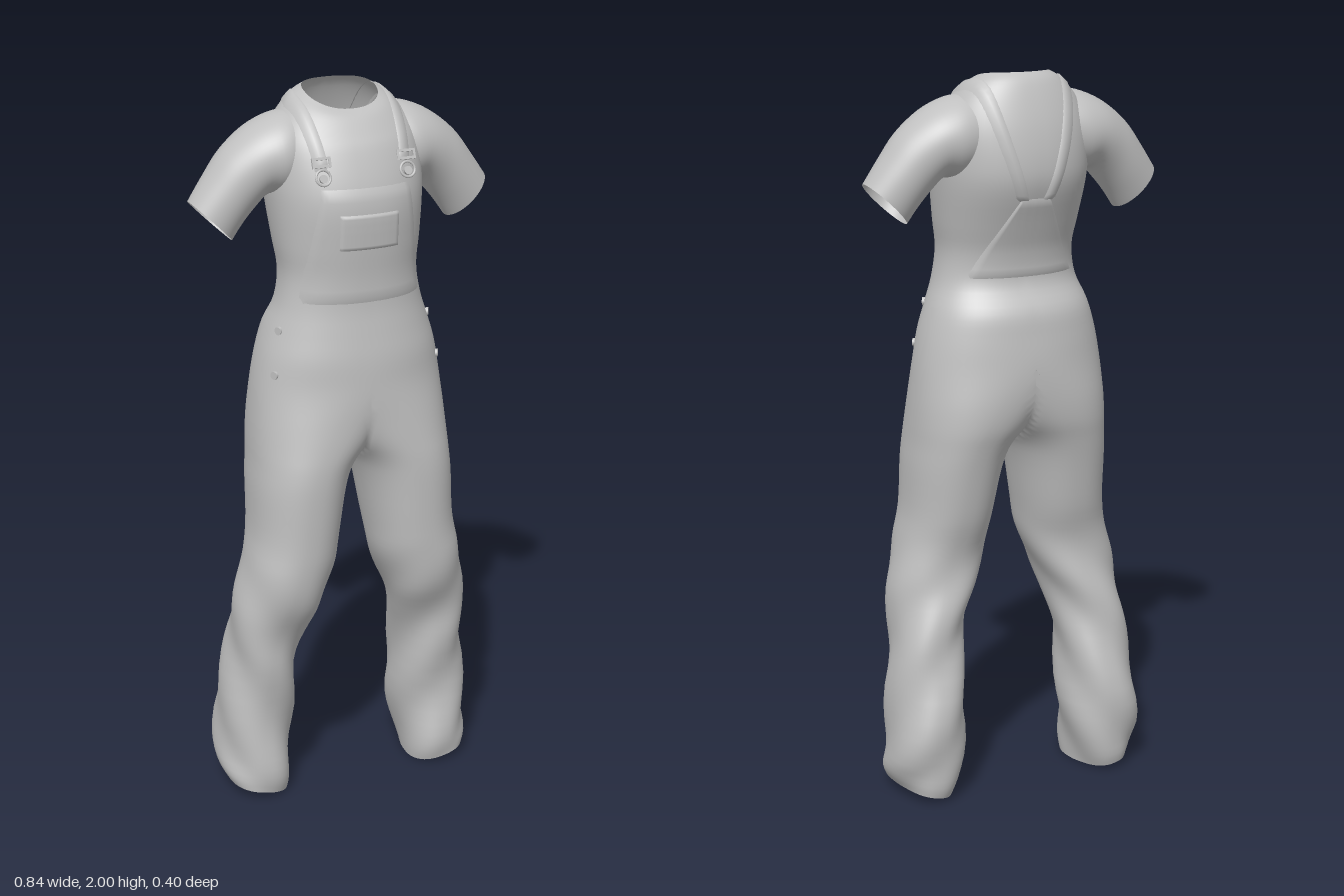
import * as THREE from 'three';
import { mergeGeometries, mergeVertices } from 'three/addons/utils/BufferGeometryUtils.js';

const COLS = 64;
const spow = (v, e) => Math.sign(v) * Math.abs(v) ** e;
const lerp = THREE.MathUtils.lerp;

// Smoothly subdivides a list of cross-section rows
function refine(rows, steps) {
  const out = [];
  const at = i => rows[Math.min(Math.max(i, 0), rows.length - 1)];
  for (let i = 0; i < rows.length - 1; i++) {
    for (let s = 0; s < steps; s++) {
      const t = s / steps;
      out.push(rows[i].map((p1, k) => {
        const p0 = at(i - 1)[k], p2 = at(i + 1)[k], p3 = at(i + 2)[k];
        return 0.5 * (2 * p1 + (p2 - p0) * t + (2 * p0 - 5 * p1 + 4 * p2 - p3) * t * t
          + (3 * p1 - p0 - 3 * p2 + p3) * t * t * t);
      }));
    }
  }
  out.push(rows[rows.length - 1]);
  return out;
}

// Skins rings of points; faces lying in the x = 0 plane are left out
function loft(rows, point) {
  const pos = [], index = [];
  rows.forEach(r => {
    for (let j = 0; j < COLS; j++) pos.push(...point(r, j / COLS * Math.PI * 2));
  });
  const tri = (...t) => { if (t.some(i => pos[i * 3] > 1e-6)) index.push(...t); };
  for (let i = 0; i < rows.length - 1; i++) {
    for (let j = 0; j < COLS; j++) {
      const a = i * COLS + j, b = i * COLS + (j + 1) % COLS;
      tri(a, a + COLS, b);
      tri(b, a + COLS, b + COLS);
    }
  }
  return makeGeometry(pos, index);
}

function makeGeometry(pos, index) {
  const g = new THREE.BufferGeometry();
  g.setAttribute('position', new THREE.Float32BufferAttribute(pos, 3));
  g.setIndex(index);
  return g;
}

function mirror(geo) {
  const g = geo.clone().applyMatrix4(new THREE.Matrix4().makeScale(-1, 1, 1));
  const ix = g.index.array;
  for (let i = 0; i < ix.length; i += 3) [ix[i], ix[i + 1]] = [ix[i + 1], ix[i]];
  return g;
}

// Half body from hem to neck: y, front drop, inner x, outer x, back z, front z
const LEG = [
  [0, 0, 0.195, 0.355, -0.135, 0.11], [0.06, 0, 0.183, 0.37, -0.15, 0.115],
  [0.2, 0, 0.165, 0.372, -0.165, 0.1], [0.4, 0, 0.16, 0.35, -0.13, 0.12],
  [0.5, 0, 0.14, 0.342, -0.11, 0.135], [0.6, 0, 0.1, 0.33, -0.095, 0.17],
  [0.7, 0, 0.067, 0.31, -0.09, 0.19], [0.8, 0, 0.05, 0.29, -0.115, 0.195],
  [0.93, 0, 0.028, 0.285, -0.14, 0.2], [1.0, 0, 0, 0.28, -0.155, 0.2],
  [1.06, 0, -0.06, 0.277, -0.17, 0.197], [1.13, 0, -0.14, 0.272, -0.178, 0.193],
];
const TORSO = [
  [1.22, 0, 0.262, -0.18, 0.19], [1.3, 0, 0.247, -0.172, 0.185], [1.37, 0, 0.226, -0.16, 0.175],
  [1.44, 0, 0.2, -0.12, 0.166], [1.52, 0, 0.188, -0.123, 0.166], [1.6, 0, 0.197, -0.15, 0.174],
  [1.7, 0, 0.207, -0.188, 0.181], [1.77, 0, 0.21, -0.194, 0.17], [1.85, 0, 0.205, -0.182, 0.14],
  [1.92, 0.03, 0.18, -0.16, 0.115], [1.975, 0.045, 0.135, -0.135, 0.085],
  [1.997, 0.05, 0.1, -0.112, 0.06],
].map(([y, d, x, b, f]) => [y, d, -x, x, b, f]);

function bodyPoint([y, drop, xi, xo, zb, zf], a) {
  const e = 2 / 2.25;
  const fold = y < 0.75 ? 0.006 * Math.sin(y * 24 + a * 3) * Math.min(1, (0.75 - y) * 6) : 0;
  const x = (xi + xo) / 2 + ((xo - xi) / 2 + fold) * spow(Math.cos(a), e);
  const z = (zb + zf) / 2 + ((zf - zb) / 2 + fold) * spow(Math.sin(a), e);
  const t = (z - zb) / (zf - zb);
  const hem = Math.max(0, 1 - y / 0.12) * Math.max(0, x - 0.19) * 0.2;
  return [x < 1e-5 ? 0 : x, y - drop * t * t + hem, z];
}

// Sleeve: top x, top y, bottom x, bottom y, back z, front z
const SLEEVE = [
  [0.13, 1.94, 0.13, 1.73, -0.14, 0.07], [0.185, 1.935, 0.18, 1.72, -0.148, 0.085],
  [0.255, 1.905, 0.215, 1.725, -0.14, 0.075], [0.325, 1.85, 0.25, 1.69, -0.124, 0.06],
  [0.375, 1.785, 0.283, 1.65, -0.112, 0.05], [0.42, 1.72, 0.31, 1.61, -0.1, 0.042],
];
function sleevePoint([tx, ty, bx, by, zb, zf], a) {
  const t = (1 - Math.cos(a)) / 2;
  return [lerp(tx, bx, t), lerp(ty, by, t), (zb + zf) / 2 - (zf - zb) / 2 * Math.sin(a)];
}

export function createModel() {
  const group = new THREE.Group();
  const cloth = new THREE.MeshStandardMaterial({ color: 0xc0c0c0 });
  cloth.name = 'grey cloth';
  cloth.side = THREE.DoubleSide;

  const add = (name, geo, parent = group) => {
    if (!geo.attributes.normal) geo.computeVertexNormals();
    const m = new THREE.Mesh(geo, cloth);
    m.name = name;
    parent.add(m);
    return m;
  };

  // Trousers and torso, welded along the centre line
  const half = loft(refine([...LEG, ...TORSO], 4), bodyPoint);
  const body = add('body', mergeVertices(mergeGeometries([half, mirror(half)]), 1e-5));

  // Short sleeves
  const sleeveGeo = loft(refine(SLEEVE, 4), sleevePoint);
  const sleeve = add('leftSleeve', sleeveGeo);
  add('rightSleeve', mirror(sleeveGeo));

  // Finds the cloth surface along a ray, lifted slightly off it
  const ray = new THREE.Raycaster();
  function surface(origin, dir, lift, targets = [body]) {
    ray.set(origin, dir);
    const hit = ray.intersectObjects(targets, false)[0];
    return (hit ? hit.point : origin.clone().addScaledVector(dir, 0.85)).clone().addScaledVector(dir, -lift);
  }
  const fromZ = (x, y, s, lift) =>
    surface(new THREE.Vector3(x, y, s), new THREE.Vector3(0, 0, -s), lift);

  // Thin layer of cloth whose border tucks into the surface below
  function layer(nu, nv, at) {
    const pos = [], index = [];
    for (let j = 0; j <= nv; j++) {
      for (let i = 0; i <= nu; i++) {
        const edge = i === 0 || j === 0 || i === nu || j === nv;
        pos.push(...at(i / nu, j / nv, edge ? -0.002 : 0.005).toArray());
        if (i < nu && j < nv) {
          const a = j * (nu + 1) + i, c = a + nu + 1;
          index.push(a, a + 1, c, a + 1, c + 1, c);
        }
      }
    }
    return makeGeometry(pos, index);
  }
  const panel = (name, s, y0, y1, width) => add(name, layer(24, 16, (u, v, lift) =>
    fromZ((u * 2 - 1) * s * width(v), lerp(y0, y1, v), s, lift)));

  panel('bib', 1, 1.45, 1.77, v => lerp(0.178, 0.125, v));
  panel('bibPocket', 1, 1.6, 1.7, () => 0.085).position.z = 0.004;
  panel('backPanel', -1, 1.455, 1.68, v => lerp(0.16, 0.04, v));

  // Straps from the bib over the shoulders, meeting low on the back
  const strap = layer(4, 44, (u, v, lift) => {
    const deg = lerp(28, 200, v), phi = THREE.MathUtils.degToRad(deg);
    const mid = deg < 90 ? lerp(0.115, 0.138, (deg - 28) / 62) : lerp(0.138, 0.035, (deg - 90) / 110);
    const out = new THREE.Vector3(0, Math.sin(phi), Math.cos(phi));
    const origin = new THREE.Vector3(mid + (u - 0.5) * 0.04, 1.72, -0.03).add(out);
    return surface(origin, out.negate(), lift, [body, sleeve]);
  });
  add('leftStrap', strap);
  add('rightStrap', mirror(strap));

  for (const [side, s] of [['left', 1], ['right', -1]]) {
    // Strap buckle: slider, loop and button
    const buckle = new THREE.Group();
    buckle.name = side + 'Buckle';
    buckle.position.copy(fromZ(s * 0.118, 1.81, 1, 0.009));
    buckle.rotation.x = -0.36;
    group.add(buckle);
    const loop = add('buckleLoop', new THREE.TorusGeometry(0.02, 0.0035, 6, 20), buckle);
    loop.position.y = -0.015;
    for (const y of [0.014, 0.034]) {
      add('buckleBar', new THREE.BoxGeometry(0.05, 0.007, 0.007), buckle).position.y = y;
    }
    for (const x of [-0.023, 0.023]) {
      add('buckleSide', new THREE.BoxGeometry(0.006, 0.026, 0.007), buckle).position.set(x, 0.024, 0);
    }
    const button = add('buckleButton', new THREE.CylinderGeometry(0.011, 0.011, 0.008, 16), buckle);
    button.rotation.x = Math.PI / 2;
    button.position.y = -0.018;

    // Hip buttons
    for (const [y, z] of [[1.375, 0.07], [1.26, 0.09]]) {
      const hip = add(side + 'HipButton', new THREE.CylinderGeometry(0.011, 0.011, 0.008, 16));
      hip.position.copy(surface(new THREE.Vector3(s, y, z), new THREE.Vector3(-s, 0, 0), 0.002));
      hip.rotation.set(0, -s * 0.5, Math.PI / 2);
    }
  }
  return group;
}
